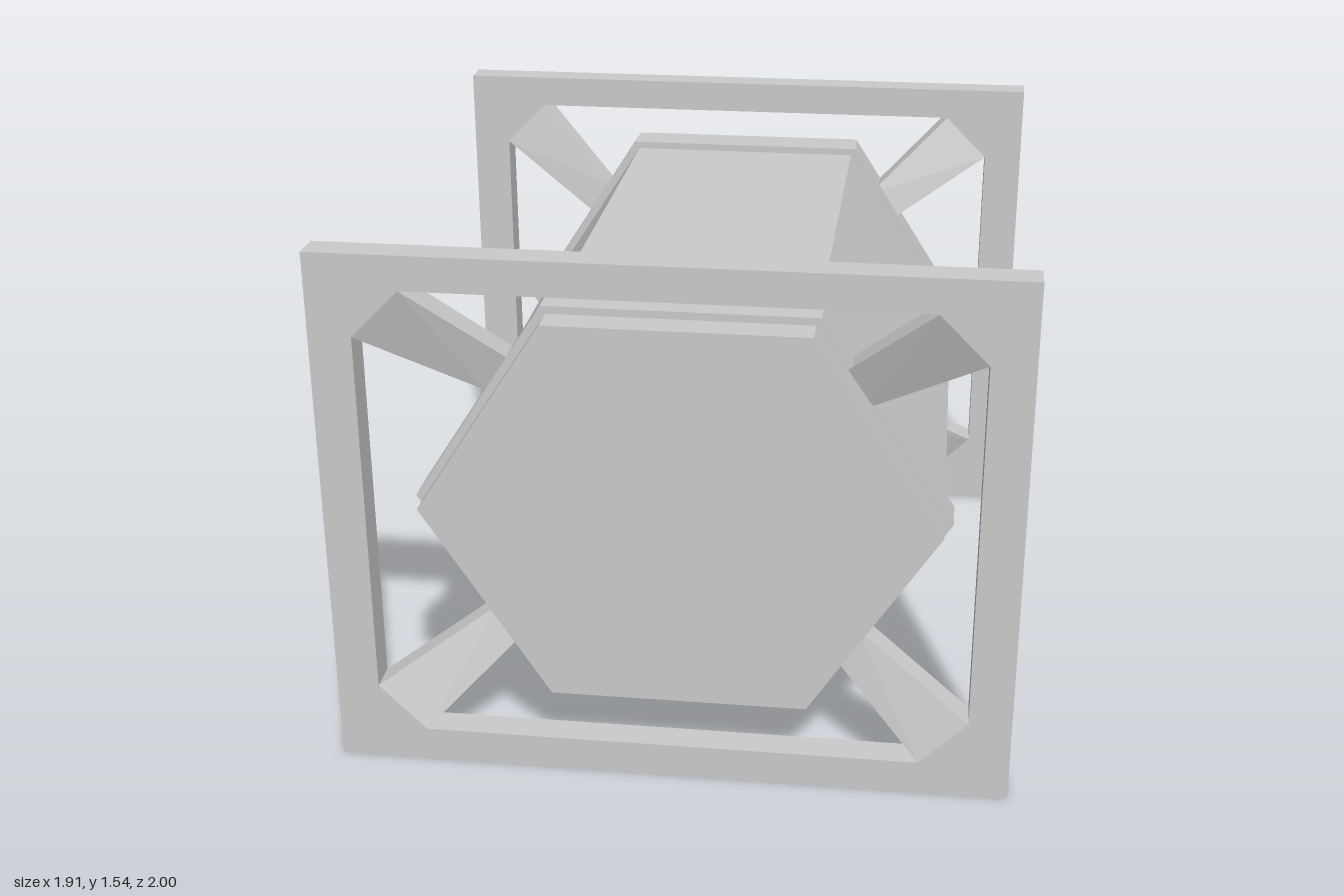
import * as THREE from 'three';
import { ConvexGeometry } from 'three/addons/geometries/ConvexGeometry.js';

const material = new THREE.MeshStandardMaterial({ color: 0xcccccc, flatShading: true });
const MID_Y = 0.768;              // centre height of the end frames
const HEX_X = 0.02, HEX_Y = 0.778; // axis of the hexagonal body

function polygon(points) {
  return points.map(([x, y]) => new THREE.Vector2(x, y));
}

function part(name, geometry) {
  const mesh = new THREE.Mesh(geometry, material);
  mesh.name = name;
  return mesh;
}

// Prism along z from z0 to z1
function prism(name, shape, z0, z1) {
  const geometry = new THREE.ExtrudeGeometry(shape, { depth: z1 - z0, bevelEnabled: false });
  geometry.translate(0, 0, z0);
  return part(name, geometry);
}

// Hexagon with points left and right
function hexagon(radius, flat, height) {
  return new THREE.Shape(polygon([
    [radius, 0], [flat, height], [-flat, height],
    [-radius, 0], [-flat, -height], [flat, -height],
  ].map(([x, y]) => [x + HEX_X, y + HEX_Y])));
}

// Rectangular frame whose opening has chamfered corners
function frameShape() {
  const w = 0.957, h = MID_Y;
  const shape = new THREE.Shape(polygon([[-w, 0], [w, 0], [w, 2 * h], [-w, 2 * h]]));
  const a = 0.837, b = 0.703, c = 0.67, d = 0.535;
  shape.holes.push(new THREE.Path(polygon([
    [a, -d], [a, d], [b, c], [-b, c], [-a, d], [-a, -d], [-b, -c], [b, -c],
  ].map(([x, y]) => [x, y + MID_Y]))));
  return shape;
}

// Tapered strut from a chamfered frame corner to the collar
function strut(sx, sy, sz) {
  const corners = [
    [0.703, 0.67, 1], [0.837, 0.535, 1], [0.703, 0.67, 0.91], [0.837, 0.535, 0.91],
    [0.45, 0.432, 0.85], [0.515, 0.335, 0.85], [0.45, 0.432, 0.768], [0.515, 0.335, 0.768],
  ];
  return part('strut', new ConvexGeometry(corners.map(
    ([x, y, z]) => new THREE.Vector3(sx * x, MID_Y + sy * y, sz * z))));
}

export function createModel() {
  const model = new THREE.Group();
  model.name = 'hexagonalContainer';

  // Long hexagonal body
  model.add(prism('body', hexagon(0.725, 0.363, 0.562), -0.95, 0.95));

  // Collar, frame and four struts at each end
  for (const sz of [1, -1]) {
    const end = new THREE.Group();
    end.name = sz > 0 ? 'frontEnd' : 'backEnd';
    const between = (a, b) => (sz > 0 ? [a, b] : [-b, -a]);
    end.add(prism('collar', hexagon(0.75, 0.377, 0.584), ...between(0.75, 0.862)));
    end.add(prism('frame', frameShape(), ...between(0.91, 1)));
    for (const sx of [1, -1]) for (const sy of [1, -1]) end.add(strut(sx, sy, sz));
    model.add(end);
  }
  return model;
}
